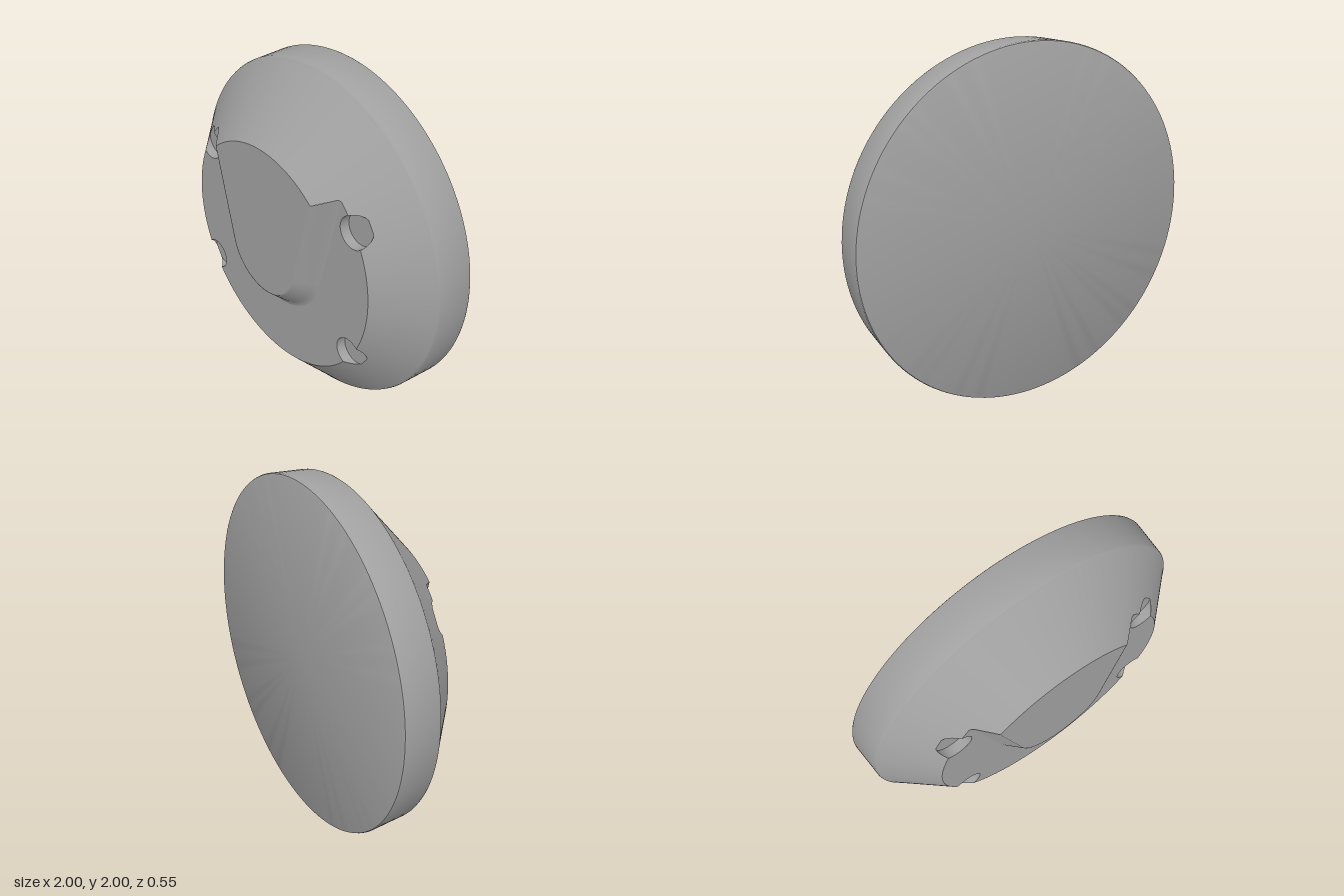
import * as THREE from 'three';
import { toCreasedNormals } from 'three/addons/utils/BufferGeometryUtils.js';

const FACE = 0.175, TOP = 0.275, FLOOR = 0.118;      // z levels of the front
const HOLE_R = 0.09, HOLE_C = Math.hypot(0.6, 0.38), HOLE_A = Math.atan2(0.38, 0.6);
const coneR = z => 0.73 - 1.08 * (z - FACE);         // cone radius at a given z
const coneZ = r => FACE - (r - 0.73) / 1.08;
const V = (x, y, z) => new THREE.Vector3(x, y, z);
const polar = (r, a, z) => V(r * Math.cos(a), r * Math.sin(a), z);

// Smooth surface through rows of points
function loft(rows) {
  const n = rows[0].length, index = [];
  for (let j = 0; j + 1 < rows.length; j++) {
    for (let i = 0; i + 1 < n; i++) {
      const a = j * n + i, d = a + n;
      index.push(a, a + 1, d + 1, a, d + 1, d);
    }
  }
  const g = new THREE.BufferGeometry().setFromPoints(rows.flat());
  g.setIndex(index);
  g.computeVertexNormals();
  return g;
}

// U-shaped path of the raised tongue, offset outward by d, ending on the cone
const U_R = 0.265, U_Y = 0.01, TILT = 0.253;
function uPath(d, z) {
  const R = U_R + d, pts = [];
  for (let i = 0; i <= 48; i++) {
    const a = -TILT - (Math.PI - 2 * TILT) * i / 48;
    pts.push(V(R * Math.cos(a), U_Y + R * Math.sin(a), z));
  }
  const p = pts[0], ux = Math.sin(TILT), uy = Math.cos(TILT);
  const b = p.x * ux + p.y * uy, c = p.x ** 2 + p.y ** 2 - coneR(z) ** 2;
  const t = -b + Math.sqrt(b * b - c);
  const end = V(p.x + t * ux, p.y + t * uy, z);
  return [end, ...pts, V(-end.x, end.y, z)];
}

export function createModel() {
  const group = new THREE.Group();
  const grey = new THREE.MeshStandardMaterial({ color: 0xa0a0a0 });
  grey.name = 'grey';
  const add = (name, geometry) => {
    const mesh = new THREE.Mesh(geometry, grey);
    mesh.name = name;
    group.add(mesh);
  };

  // Flat back and slightly drafted rim
  const rim = [[0, -0.275], [0.988, -0.275], [0.996, -0.271], [1, -0.262],
    [0.99, -0.07], [0.986, -0.06], [coneR(-0.052), -0.052]];
  const lathe = new THREE.LatheGeometry(rim.map(p => new THREE.Vector2(...p)), 128);
  add('backAndRim', toCreasedNormals(lathe.rotateX(Math.PI / 2), 0.6));

  // Raised tongue: sloped U-shaped wall with a soft foot
  const profile = [[0, TOP], [0.008, 0.272], [0.068, 0.206], [0.082, 0.19], [0.094, 0.18], [0.108, FACE]];
  const walls = profile.map(([d, z]) => uPath(d, z));
  add('tongueWall', loft(walls));

  // Tongue top, closed by the arc where it meets the cone
  const crest = walls[0], crestAngle = Math.atan2(crest[0].y, crest[0].x);
  const topShape = new THREE.Shape();
  topShape.moveTo(crest.at(-1).x, crest.at(-1).y);
  [...crest].reverse().forEach(p => topShape.lineTo(p.x, p.y));
  topShape.absarc(0, 0, coneR(TOP), crestAngle, Math.PI - crestAngle, false);
  add('tongueTop', new THREE.ShapeGeometry(topShape, 48).translate(0, 0, TOP));

  // Front plate around the tongue, notched by the four holes
  const foot = walls.at(-1), footAngle = Math.atan2(foot[0].y, foot[0].x);
  const faceR = coneR(FACE);
  const dA = Math.acos((faceR ** 2 + HOLE_C ** 2 - HOLE_R ** 2) / (2 * faceR * HOLE_C));
  const beta = Math.atan2(faceR * Math.sin(dA), faceR * Math.cos(dA) - HOLE_C);
  const holeAngles = [HOLE_A, -HOLE_A, HOLE_A - Math.PI, -HOLE_A - Math.PI];
  const plate = new THREE.Shape();
  plate.moveTo(foot[0].x, foot[0].y);
  let from = footAngle;
  for (const h of holeAngles) {
    plate.absarc(0, 0, faceR, from, h + dA, true);
    plate.absarc(HOLE_C * Math.cos(h), HOLE_C * Math.sin(h), HOLE_R, h + beta, h - beta + 2 * Math.PI, false);
    from = h - dA;
  }
  plate.absarc(0, 0, faceR, from, -Math.PI - footAngle, true);
  [...foot].reverse().forEach(p => plate.lineTo(p.x, p.y));
  add('frontPlate', new THREE.ShapeGeometry(plate, 40).translate(0, 0, FACE));

  // Inner edge of the cone: follows the tongue, the plate and the holes
  const ends = walls.map(w => [Math.atan2(w[0].y, w[0].x), Math.hypot(w[0].x, w[0].y)]);
  const innerR = a => {
    const q = Math.asin(Math.sin(a));                // fold left onto right
    if (q >= ends[0][0]) return ends[0][1];
    for (let k = 0; k + 1 < ends.length; k++) {
      const [a0, r0] = ends[k], [a1, r1] = ends[k + 1];
      if (q <= a0 && q >= a1) return r0 + (r1 - r0) * (a0 - q) / (a0 - a1 || 1);
    }
    const da = Math.abs(q) - HOLE_A, s = HOLE_C * Math.sin(da);
    if (Math.abs(da) >= dA) return faceR;
    const exit = HOLE_C * Math.cos(da) + Math.sqrt(HOLE_R ** 2 - s * s);
    return Math.max(faceR, Math.min(exit, coneR(FLOOR)));
  };
  const angles = [];
  for (let i = 0; i <= 360; i++) angles.push(-Math.PI / 2 + i * Math.PI / 180);
  for (const [a] of ends) angles.push(a, Math.PI - a);
  for (const h of [HOLE_A, -HOLE_A]) {
    for (const s of [-1, -0.985, -0.95, 0.95, 0.985, 1]) angles.push(h + s * dA, Math.PI - h - s * dA);
  }
  angles.sort((a, b) => a - b);
  const outerR = coneR(-0.052);
  add('cone', loft([0, 0.5, 1].map(t => angles.map(a => {
    const r = outerR + (innerR(a) - outerR) * t;
    return polar(r, a, coneZ(r));
  }))));

  // Holes: straight wall and flat floor, open where the floor meets the cone
  for (const h of holeAngles) {
    const top = [], bottom = [], centre = [];
    for (let i = 0; i <= 48; i++) {
      const p = polar(HOLE_R, h + i * Math.PI / 24, FLOOR).add(polar(HOLE_C, h, 0));
      const r = Math.hypot(p.x, p.y), k = Math.min(1, coneR(FLOOR) / r);
      p.x *= k;
      p.y *= k;
      bottom.push(p);
      top.push(V(p.x, p.y, Math.max(FLOOR, Math.min(FACE, coneZ(r)))));
      centre.push(polar(HOLE_C, h, FLOOR));
    }
    add('holeWall', loft([top, bottom]));
    add('holeFloor', loft([bottom, centre]));
  }

  group.position.y = 1;
  const model = new THREE.Group();
  model.name = 'disc';
  model.add(group);
  return model;
}
